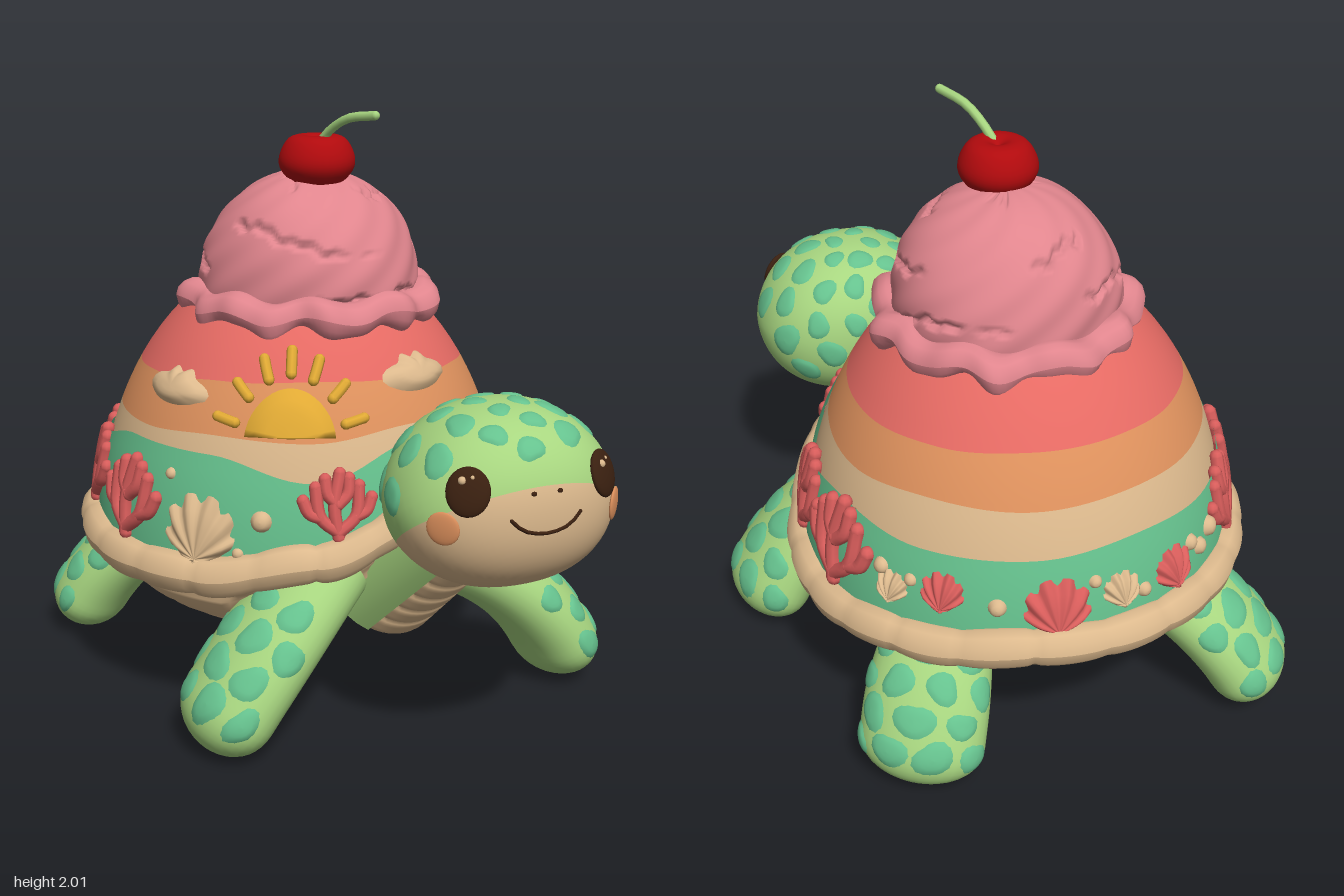
import * as THREE from 'three';

const V = (x, y, z) => new THREE.Vector3(x, y, z);
const { sin, cos, abs, PI, max, min, sqrt, exp } = Math;
const RAD = PI / 180;
const mat = (name, color) => {
  const m = new THREE.MeshStandardMaterial({ color, side: THREE.DoubleSide });
  m.name = name;
  return m;
};

// Surface from a rule fn(u, v) -> Vector3; u optionally wraps around
function grid(fn, nu, nv, wrap = true) {
  const pos = [], idx = [], cols = wrap ? nu : nu + 1;
  for (let j = 0; j <= nv; j++) for (let i = 0; i < cols; i++) pos.push(...fn(i / nu, j / nv).toArray());
  for (let j = 0; j < nv; j++) for (let i = 0; i < nu; i++) {
    const a = j * cols + i, b = j * cols + (i + 1) % cols;
    idx.push(a, b, b + cols, a, b + cols, a + cols);
  }
  const g = new THREE.BufferGeometry();
  g.setAttribute('position', new THREE.Float32BufferAttribute(pos, 3));
  g.setIndex(idx);
  g.computeVertexNormals();
  return g;
}

// Smooth periodic curve through 12 values, one every 30 degrees from the back (-180)
const wave = (vals) => (az) => {
  const s = ((az / RAD + 540) % 360) / 30, i = Math.floor(s), f = s - i;
  const k = (1 - cos(f * PI)) / 2;
  return vals[i % 12] * (1 - k) + vals[(i + 1) % 12] * k;
};
const rimY = wave([.57, .56, .55, .56, .54, .55, .62, .75, .69, .53, .51, .54]);
const greenTop = wave([.85, .87, .85, .87, .94, .94, .87, .97, .98, .84, .88, .85]);
const sandTop = wave([.99, 1, .99, .98, .98, 1, .99, 1.02, 1.02, .99, .98, 1]);
const orangeTop = wave([1.15, 1.15, 1.14, 1.13, 1.14, 1.16, 1.17, 1.16, 1.15, 1.13, 1.13, 1.14]);

// Shell dome: angle from the front, height, distance off the surface
const CX = -.05, CZ = -.19;
const domeR = (y) => .715 * sqrt(max(0, 1 - (y - .5) ** 2));
function dome(az, y, d = 0) {
  const r = domeR(y), n = V(r / .511, y - .5, 0).normalize();
  const q = r + n.x * d;
  return V(CX + sin(az) * q, y + n.y * d, CZ + .04 * (y - .5) + cos(az) * q);
}
const onDome = (deg, y) => (a, b, d) => dome(deg * RAD + a / domeR(y), y + b, d);

export function createModel() {
  const root = new THREE.Group();
  root.name = 'turtle';
  let seed = 7;
  const rnd = () => (seed = (seed * 16807) % 2147483647) / 2147483647;

  const skin = mat('skin green', 0xa8d680), teal = mat('sea green', 0x66c28e), tan = mat('sand', 0xdcb98d);
  const red = mat('sunset red', 0xe56a63), coralRed = mat('coral red', 0xd85d5b), orange = mat('orange', 0xde915d);
  const pink = mat('ice cream pink', 0xe0858d), cherry = mat('cherry red', 0xb10a0d);
  const yellow = mat('sun yellow', 0xe0a934), dark = mat('dark brown', 0x3a2010);

  const add = (name, geo, m, parent = root) => {
    const mesh = new THREE.Mesh(geo, m);
    mesh.name = name;
    parent.add(mesh);
    return mesh;
  };
  // Raised plate on a surface: outline radius by angle, height by radius and angle
  const patch = (name, map, outline, height, m, parent = root, n = 16) => add(name, grid((u, v) => {
    const f = u * 2 * PI, r = outline(f) * v;
    return map(cos(f) * r, sin(f) * r, height(v, f));
  }, n, 4), m, parent);
  const spot = (map, r, parent) => {
    const s = rnd() * 6;
    patch('skinSpot', map, (f) => r * (1 + .13 * sin(2 * f + s) + .07 * sin(3 * f + 2 * s)),
      (v) => -.003 + .01 * (1 - v ** 5), teal, parent);
  };
  // Rounded rod along a few points
  const rod = (name, pts, r, m, parent = root) => {
    add(name, new THREE.TubeGeometry(new THREE.CatmullRomCurve3(pts), 8, r, 8), m, parent);
    for (const p of [pts[0], pts[pts.length - 1]]) add(name + 'End', new THREE.SphereGeometry(r, 8, 6), m, parent).position.copy(p);
  };

  // Shell bands
  const band = (name, lo, hi, d, m) => add(name, grid((u, v) => {
    const az = u * 2 * PI, a = lo(az);
    return dome(az, a + (hi(az) - a) * v, d);
  }, 108, 8), m);
  band('shellSeaBand', rimY, greenTop, .012, teal);
  band('shellSandBand', (a) => greenTop(a) - .03, sandTop, 0, tan);
  band('shellOrangeBand', sandTop, orangeTop, 0, orange);
  band('shellRedBand', orangeTop, () => 1.499, 0, red);

  // Scalloped rim
  add('shellRim', grid((u, v) => {
    const az = u * 2 * PI, t = -v * 2 * PI, g = .84 + .16 * abs(sin(11 * az + .3 * sin(3 * az))) ** .4;
    const r = .726 + cos(t) * .063 * g;
    return V(CX + sin(az) * r, rimY(az) + sin(t) * .07 * g, CZ + cos(az) * r);
  }, 220, 12), tan);

  // Belly with grooved plates
  const notch = (x, w) => exp(-((x / w) ** 2));
  add('belly', grid((u, v) => {
    const az = u * 2 * PI, f = v * PI / 2, k = (u * 10 + v * .8) % 1;
    let g = v > .25 ? notch(min(k, 1 - k), .06) : 0;
    for (const c of [.25, .55, .82]) g = max(g, notch(v - c, .018));
    const top = rimY(az), r = sin(f) * (.69 - .016 * g);
    return V(CX + sin(az) * r, top - (top - .185 - .014 * g) * cos(f), CZ + cos(az) * r);
  }, 130, 42), tan);

  // Sun with rays, clouds
  const sunAt = onDome(-7, 1.005);
  patch('sun', sunAt, (f) => (sin(f) > -.01 ? .148 : 0), (v) => .026 * (1 - v ** 6), yellow, root, 40);
  for (let i = 0; i < 7; i++) {
    const a = (12 + i * 26) * RAD;
    rod('sunRay', [.185, .215, .25].map((r) => sunAt(cos(a) * r, sin(a) * r, .012)), .018, yellow);
  }
  for (const [deg, y] of [[-50, 1.11], [41, 1.155]])
    patch('cloud', onDome(deg, y), (f) => (1 + (sin(f) > -.2 ? .13 * cos(6 * f + .4) : 0)) / Math.hypot(cos(f) / .13, sin(f) / (sin(f) > 0 ? .062 : .045)),
      (v) => .028 * (1 - v ** 4), tan, root, 48);

  // Corals: a trunk with mirrored branches
  const coral = (deg, y, s) => {
    const g = new THREE.Group(), at = onDome(deg, y);
    g.name = 'coral';
    root.add(g);
    const branch = (sx, pts) => rod('coralBranch', pts.map(([x, b]) => at(x * s * sx, b * s, .018)), .024 * (.3 + .7 * s), coralRed, g);
    branch(1, [[0, 0], [-.015, .12], [.012, .25]]);
    for (const sx of [-1, 1]) {
      branch(sx, [[0, .02], [.07, .08], [.09, .2]]);
      branch(sx, [[.07, .08], [.115, .1], [.14, .15]]);
      branch(sx, [[0, .13], [.04, .17], [.05, .23]]);
    }
  };
  for (const [deg, y, s] of [[-57, .62, 1], [-86, .63, 1], [6, .7, .8], [61, .73, .8], [98, .62, 1.05], [122, .6, 1.1], [-108, .62, 1]]) coral(deg, y, s);

  // Fan seashells and pebbles
  const seashell = (deg, y, s, m) => patch('seashell', onDome(deg, y),
    (f) => s * (.14 + max(0, sin(f)) ** .6 * (1 + .04 * cos(14 * f))),
    (v, f) => .012 + .028 * (1 - v ** 4) + .009 * cos(14 * f) * v, m, root, 84);
  for (const [deg, y, s, m] of [[-31, .61, .18, tan], [-140, .65, .11, coralRed], [-174, .62, .15, coralRed], [157, .68, .1, coralRed],
    [143, .66, .08, tan], [-157, .67, .09, tan]]) seashell(deg, y, s, m);
  for (const [deg, y, r] of [[-14, .75, .035], [-42, .86, .02], [-20, .64, .02], [78, .7, .035], [139, .75, .028], [148, .74, .022],
    [-122, .73, .035], [-128, .7, .03], [-132, .74, .028], [-150, .68, .025], [-164, .76, .022], [171, .7, .03]])
    patch('pebble', onDome(deg, y), () => r, (v) => .01 + r * .8 * sqrt(1 - v * v), tan);

  // Ice cream scoop with ragged crevices
  add('iceCreamScoop', grid((u, v) => {
    const az = u * 2 * PI, f = -.5 + v * (PI / 2 + .5), y = sin(f), c = cos(f);
    const s = sin(15 * y + 2.4 * sin(az + .6) + .5 * sin(4 * az + 1) + .3 * sin(13 * az) + .25 * sin(29 * az));
    const gate = max(0, min(1, 3 * (sin(3 * az + 5 * y) + .5 * sin(7 * az - 9 * y) + .1)));
    const dent = gate * max(0, (s - .86) / .14) * c;
    const r = .375 + c * (.005 * sin(3 * az + 4 * y) + .003 * sin(11 * az - 17 * y)) - .024 * dent;
    return V(-.02 + sin(az) * c * r, 1.405 + y * r, -.145 + cos(az) * c * r);
  }, 180, 70), pink);
  add('iceCreamSkirt', grid((u, v) => {
    const az = u * 2 * PI, t = -v * 2 * PI, lump = sin(11 * az) + .6 * sin(17 * az + 1);
    const r = .375 + .012 * lump + cos(t) * (.066 + .008 * sin(7 * az));
    const y = 1.345 + .014 * sin(9 * az + 2) + sin(t) * (.06 + (sin(t) < 0 ? .014 * lump : 0));
    return V(-.02 + sin(az) * r, y, -.145 + cos(az) * r);
  }, 160, 14), pink);

  // Cherry and stem
  const cherryProfile = new THREE.SplineCurve([[0, -.085], [.07, -.078], [.12, -.03], [.126, .02], [.095, .075], [.045, .087], [0, .065]]
    .map(([x, y]) => new THREE.Vector2(x, y))).getPoints(24).map((p) => new THREE.Vector2(max(0, p.x), p.y));
  add('cherry', new THREE.LatheGeometry(cherryProfile, 32), cherry).position.set(0, 1.812, -.08);
  rod('cherryStem', [V(0, 1.86, -.06), V(.03, 1.91, -.03), V(.09, 1.965, .05), V(.17, 1.984, .145)], .015, skin);

  // Flippers: flattened tubes along a bent path
  const flippers = [
    ['frontRightFlipper', V(.02, .54, .33), V(-.2, .37, .5), V(-.41, .015, .58)],
    ['frontLeftFlipper', V(.42, .5, .14), V(.73, .4, .1), V(.89, .015, .03)],
    ['backRightFlipper', V(-.42, .46, -.38), V(-.73, .37, -.48), V(-.89, .015, -.52)],
    ['backLeftFlipper', V(.2, .46, -.55), V(.28, .38, -.79), V(.32, .015, -.9)],
  ];
  for (const [name, a, b, c] of flippers) {
    const path = new THREE.QuadraticBezierCurve3(a, b, c), g = new THREE.Group();
    g.name = name;
    root.add(g);
    const surf = (u, v, d = 0) => {
      const p = path.getPoint(v), T = path.getTangent(v), t = u * 2 * PI;
      const S = T.clone().cross(V(0, 1, 0)).normalize(), N = S.clone().cross(T);
      const cap = v > .8 ? max(0, 1 - ((v - .8) / .2) ** 2.4) ** .5 : 1;
      const w = .15 + .06 * sin(min(1, v * 1.4) * PI / 2);
      return p.addScaledVector(S, cos(t) * (w * cap + d)).addScaledVector(N, sin(t) * ((.13 + .012 * v) * cap + d));
    };
    add(name + 'Limb', grid((u, v) => surf(u, sin(v * PI / 2)), 32, 28), skin, g);
    [.36, .52, .68, .83].forEach((v, row) => {
      for (const u of row % 2 ? [.06, .19, .31, .44] : [.12, .25, .38])
        spot((p, q, d) => surf(u + p / 1.05, v + q / .68, d), .05 + .012 * rnd(), g);
    });
  }

  // Neck: green above, folded sand-coloured throat below
  const n0 = V(.2, .44, .17), n1 = V(.47, .82, .56), T = n1.clone().sub(n0).normalize();
  const S = T.clone().cross(V(0, 1, 0)).normalize(), N = S.clone().cross(T);
  const neck = (from, to, fold) => grid((u, v) => {
    const t = (from + (to - from) * u) * RAD, k = (v * 7) % 1;
    const r = .235 - .07 * v - fold * .01 * notch(min(k, 1 - k), .1);
    return n0.clone().lerp(n1, v).addScaledVector(S, cos(t) * r).addScaledVector(N, sin(t) * r);
  }, 20, 56, false);
  add('neckTop', neck(-50, 190, 0), skin);
  add('throat', neck(190, 310, 1), tan);

  // Head: rounded egg, narrower above the cheeks, with a green cap and a sand-coloured face
  const head = new THREE.Group();
  head.name = 'head';
  head.position.set(.5, .905, .68);
  head.rotation.y = .32;
  root.add(head);
  const A = .36, B = .285, C = .3, P = 2.25, X = V(1, 0, 0);
  const taper = (p) => {
    p.x *= 1 - .13 * max(0, p.y / B);
    return p;
  };
  const onHead = (dir, d = 0) => {
    const k = (abs(dir.x / A) ** P + abs(dir.y / B) ** P + abs(dir.z / C) ** P) ** (-1 / P);
    return taper(dir.clone().multiplyScalar(k + d));
  };
  const headDir = (az, t) => V(sin(t) * sin(az), cos(t), sin(t) * cos(az)).applyAxisAngle(X, -.61);
  const skull = grid((u, v) => onHead(headDir(u * 2 * PI, PI * (1 - v))), 64, 36);
  skull.addGroup(0, 15 * 64 * 6, 0);
  skull.addGroup(15 * 64 * 6, Infinity, 1);
  add('skull', skull, [tan, skin], head);

  // Face features, placed on the front of the head
  const face = (x, y) => taper(V(x, y, C * max(0, 1 - abs(x / A) ** P - abs(y / B) ** P) ** (1 / P)));
  const button = (name, x, y, sx, sy, sz, m) => {
    const p = face(x, y), f = (t, r) => Math.sign(t) * abs(t) ** (P - 1) / r ** P;
    const g = new THREE.Group();
    g.name = name;
    g.position.copy(p);
    g.quaternion.setFromRotationMatrix(new THREE.Matrix4().lookAt(V(f(p.x, A), f(p.y, B), f(p.z, C)), V(0, 0, 0), V(0, 1, 0)));
    head.add(g);
    add(name + 'Disc', new THREE.SphereGeometry(1, 20, 12), m, g).scale.set(sx, sy, sz);
    return g;
  };
  for (const s of [-1, 1]) {
    const eye = button('eye', s * .235, .095, .066, .074, .02, dark);
    for (const [x, y, r] of [[-.018, .032, .013], [.012, .042, .007]])
      add('eyeGlint', new THREE.SphereGeometry(r, 10, 8), tan, eye).position.set(x, y, .012);
    button('cheek', s * .288, -.018, .052, .052, .01, orange);
    button('nostril', s * .045, .085, .009, .007, .005, dark);
  }
  rod('mouth', [[-.115, .012], [-.075, -.022], [0, -.038], [.075, -.022], [.115, .012]].map(([x, y]) => face(x, y)), .006, dark, head);

  // Spots over the top and back of the head
  const eyeDirs = [-1, 1].map((s) => face(s * .235, .095).normalize());
  for (let i = 0; i < 40; i++) {
    const c = headDir(i * 2.39996, Math.acos(1 - (i + .5) / 40 * 1.02));
    if (eyeDirs.some((e) => e.angleTo(c) < .42)) continue;
    const t1 = V(0, 1, 0).cross(c).normalize(), t2 = c.clone().cross(t1);
    spot((a, b, d) => onHead(c.clone().addScaledVector(t1, a).addScaledVector(t2, b).normalize(), d), .145 + .045 * rnd(), head);
  }
  return root;
}
